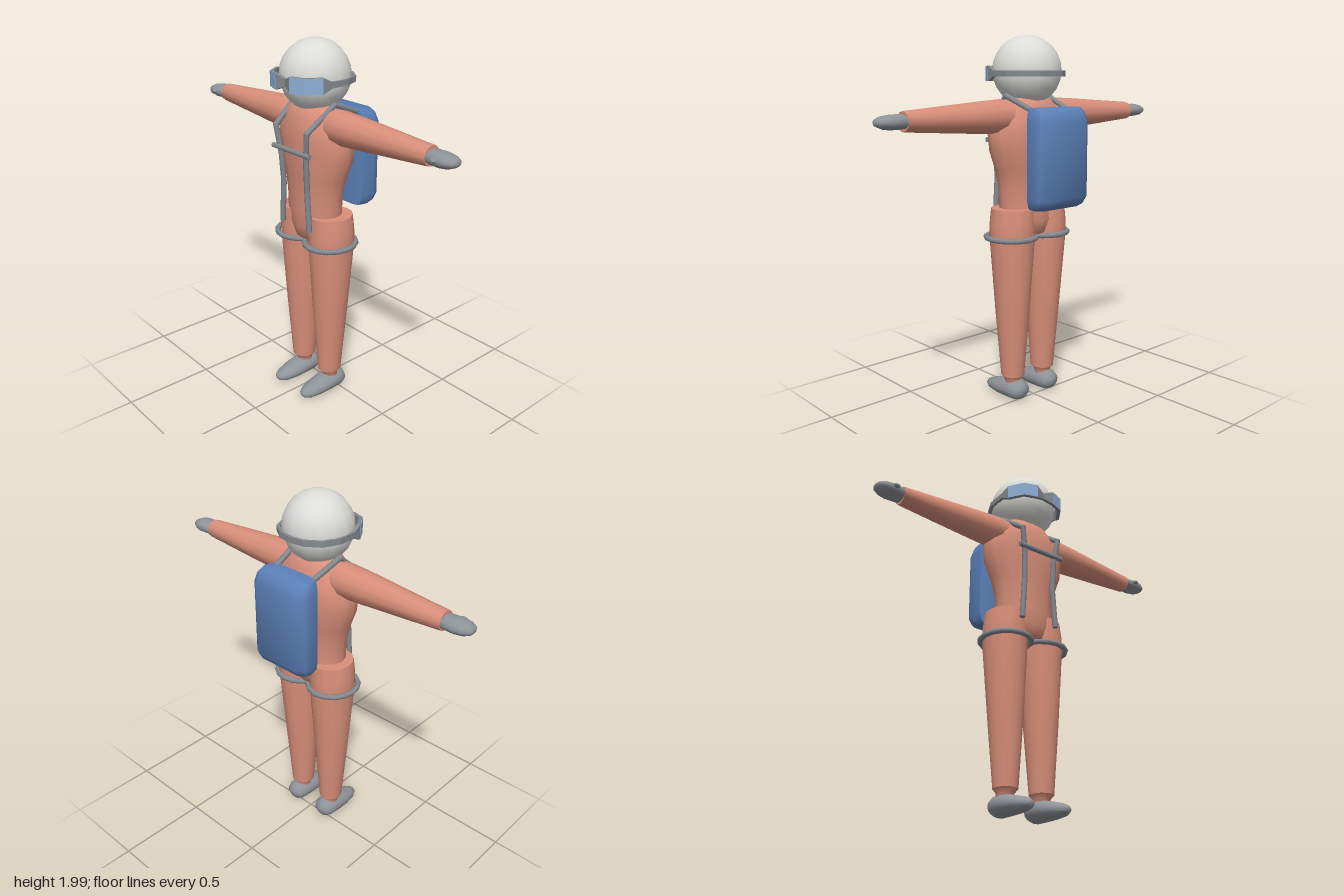
import * as THREE from 'three';
import { toCreasedNormals } from 'three/addons/utils/BufferGeometryUtils.js';

const mat = (name, color) => Object.assign(new THREE.MeshStandardMaterial({ color }), { name });

// Skin a list of equal-length loops, with optional flat end caps.
function loft(loops, caps = true, crease = 0.9) {
  const n = loops[0].length, pos = loops.flat(2), idx = [];
  for (let k = 0; k < loops.length - 1; k++) {
    for (let i = 0; i < n; i++) {
      const j = (i + 1) % n, a = k * n + i, b = k * n + j;
      idx.push(a, a + n, b, b, a + n, b + n);
    }
  }
  if (caps) {
    const top = (loops.length - 1) * n;
    for (let i = 1; i < n - 1; i++) {
      idx.push(0, i, i + 1, top, top + i + 1, top + i);
    }
  }
  const g = new THREE.BufferGeometry();
  g.setAttribute('position', new THREE.Float32BufferAttribute(pos, 3));
  g.setIndex(idx);
  return toCreasedNormals(g, crease);
}

// Elliptical section across the y axis.
function ring(y, rx, rz, cx = 0, cz = 0, n = 14) {
  return Array.from({ length: n }, (_, i) => {
    const a = (i / n) * Math.PI * 2;
    return [cx + rx * Math.cos(a), y, cz + rz * Math.sin(a)];
  });
}

export function createModel() {
  const model = new THREE.Group();
  const suit = mat('suit', 0xd98f7a);
  const gear = mat('gloves and shoes', 0x8f9499);
  const webbing = mat('webbing', 0x858a90);
  const helmetMat = mat('helmet', 0xdcdcd8);
  const packMat = mat('pack', 0x5b80b8);
  const lensMat = mat('lens', 0x8fb0d6);

  const add = (name, geo, material) => {
    const m = new THREE.Mesh(geo, material);
    m.name = name;
    model.add(m);
    return m;
  };
  const rod = (name, a, b, r) => {
    const p = new THREE.Vector3(...a), q = new THREE.Vector3(...b), d = q.clone().sub(p);
    const m = add(name, new THREE.CylinderGeometry(r, r, d.length() + r * 0.8, 8), webbing);
    m.position.copy(p).add(q).multiplyScalar(0.5);
    m.quaternion.setFromUnitVectors(new THREE.Vector3(0, 1, 0), d.normalize());
  };

  // Torso: y, half width, half depth, centre z
  const torso = [
    [0.91, 0.02, 0.04, 0.05], [0.95, 0.12, 0.105, 0.05], [1.02, 0.165, 0.122, 0.05],
    [1.1, 0.172, 0.12, 0.055], [1.2, 0.176, 0.12, 0.055], [1.3, 0.202, 0.13, 0.05],
    [1.4, 0.243, 0.142, 0.045], [1.5, 0.255, 0.142, 0.045], [1.56, 0.24, 0.135, 0.048],
    [1.62, 0.195, 0.118, 0.05], [1.67, 0.15, 0.095, 0.05], [1.69, 0.08, 0.06, 0.05],
  ];
  add('torso', loft(torso.map(([y, rx, rz, cz]) => ring(y, rx, rz, 0, cz, 16))), suit);

  // Helmet
  add('helmet', new THREE.SphereGeometry(0.185, 16, 12), helmetMat).position.set(0, 1.815, 0.052);

  // Goggles: half outline from nose to back as x, z, half height
  const half = [
    [0, 0.245, 0.018], [0.055, 0.262, 0.04], [0.13, 0.235, 0.04], [0.183, 0.155, 0.04],
    [0.192, 0.105, 0.016], [0.192, 0, 0.015], [0.155, -0.085, 0.015], [0.08, -0.138, 0.015], [0, -0.15, 0.015],
  ];
  const band = (pts, outer, inner, grow) => pts.map(([x, z, h]) =>
    [[outer, -1], [outer, 1], [inner, 1], [inner, -1]].map(([s, v]) =>
      [x * s, 1.8 + v * h * grow, 0.05 + (z - 0.05) * s]));
  const mirrored = half.slice(1, -1).reverse().map(([x, z, h]) => [-x, z, h]);
  const outline = [...half, ...mirrored, half[0]];
  add('goggleFrame', loft(band(outline, 1, 0.92, 1), false, 0.3), webbing);
  add('leftLens', loft(band(outline.slice(1, 4), 1.012, 0.99, 0.98), true, 0.3), lensMat);
  add('rightLens', loft(band(outline.slice(13, 16), 1.012, 0.99, 0.98), true, 0.3), lensMat);

  for (const s of [1, -1]) {
    const side = s > 0 ? 'left' : 'right';
    const limb = (name, sections, turn, material, n) =>
      add(side + name, turn(loft(sections.map((q) => ring(...q, n)))), material);
    const outward = (g) => g.rotateZ(-s * Math.PI / 2);
    const forward = (g) => g.rotateX(Math.PI / 2);
    const upright = (g) => g;

    // Arm and glove, running out along x
    const ay = -1.58 * s;
    limb('Arm', [
      [0.1, 0.085, 0.085, ay, 0.05], [0.2, 0.09, 0.09, ay, 0.05], [0.32, 0.083, 0.085, ay, 0.05],
      [0.55, 0.067, 0.069, ay, 0.047], [0.79, 0.05, 0.052, ay, 0.045],
    ], outward, suit, 12);
    limb('Glove', [
      [0.77, 0.033, 0.044, ay, 0.045], [0.8, 0.036, 0.055, ay, 0.045], [0.86, 0.037, 0.06, ay, 0.046],
      [0.9, 0.032, 0.053, ay, 0.047], [0.93, 0.02, 0.035, ay, 0.047], [0.94, 0.007, 0.014, ay, 0.047],
    ], outward, gear, 12);
    const thumb = add(side + 'Thumb', new THREE.SphereGeometry(0.016, 8, 6), gear);
    thumb.scale.set(1.3, 0.8, 1);
    thumb.position.set(0.845 * s, 1.585, 0.103);

    // Leg, ankle and shoe
    limb('Leg', [
      [0.14, 0.063, 0.067, 0.112 * s, 0.05], [0.5, 0.09, 0.097, 0.114 * s, 0.048],
      [0.93, 0.119, 0.128, 0.117 * s, 0.043], [1.0, 0.12, 0.128, 0.116 * s, 0.043],
      [1.09, 0.111, 0.122, 0.113 * s, 0.043],
    ], upright, suit, 16);
    limb('Ankle', [
      [0.09, 0.045, 0.045, 0.112 * s, 0.045], [0.12, 0.047, 0.047, 0.112 * s, 0.048],
      [0.142, 0.062, 0.066, 0.112 * s, 0.05],
    ], upright, suit, 14);
    limb('Shoe', [
      [-0.047, 0.02, 0.018, 0.112 * s, -0.065], [-0.03, 0.05, 0.044, 0.112 * s, -0.063],
      [0, 0.063, 0.056, 0.112 * s, -0.062], [0.06, 0.066, 0.056, 0.112 * s, -0.06],
      [0.14, 0.062, 0.046, 0.112 * s, -0.05], [0.21, 0.048, 0.034, 0.112 * s, -0.042],
      [0.245, 0.028, 0.02, 0.112 * s, -0.04], [0.256, 0.009, 0.007, 0.112 * s, -0.04],
    ], forward, gear, 14);

    // Thigh loop
    const loop = add(side + 'ThighLoop', new THREE.TorusGeometry(0.135, 0.015, 8, 16).rotateX(Math.PI / 2), webbing);
    loop.scale.z = 1.04;
    loop.position.set(0.116 * s, 0.932, 0.05);

    // Shoulder strap from pack over the shoulder and down the front
    const path = [
      [0.125, 1.615, -0.125], [0.145, 1.685, 0.05], [0.122, 1.56, 0.213],
      [0.1, 1.42, 0.2], [0.095, 1.25, 0.19], [0.11, 1.03, 0.19],
    ].map(([x, y, z]) => [x * s, y, z]);
    for (let i = 1; i < path.length; i++) rod(side + 'ShoulderStrap', path[i - 1], path[i], 0.015);
  }
  rod('chestStrap', [-0.14, 1.447, 0.215], [0.14, 1.447, 0.215], 0.014);

  // Backpack: one plan outline, narrowed toward top and bottom
  const plan = [
    [0.13, -0.115], [-0.13, -0.115], [-0.165, -0.13], [-0.18, -0.2], [-0.17, -0.235], [-0.135, -0.258],
    [0.135, -0.258], [0.17, -0.235], [0.18, -0.2], [0.165, -0.13],
  ].reverse();
  const levels = [[1.105, 0.86, 0.7], [1.12, 0.94, 0.86], [1.16, 1, 1], [1.56, 1, 1], [1.605, 0.95, 0.88], [1.628, 0.87, 0.72]];
  const packLoops = levels.map(([y, w, d]) => plan.map(([x, z]) => [x * w, y, -0.11 + (z + 0.11) * d]));
  add('backpack', loft(packLoops.map((l) => l.slice().reverse()), true, 0.8), packMat);

  return model;
}
